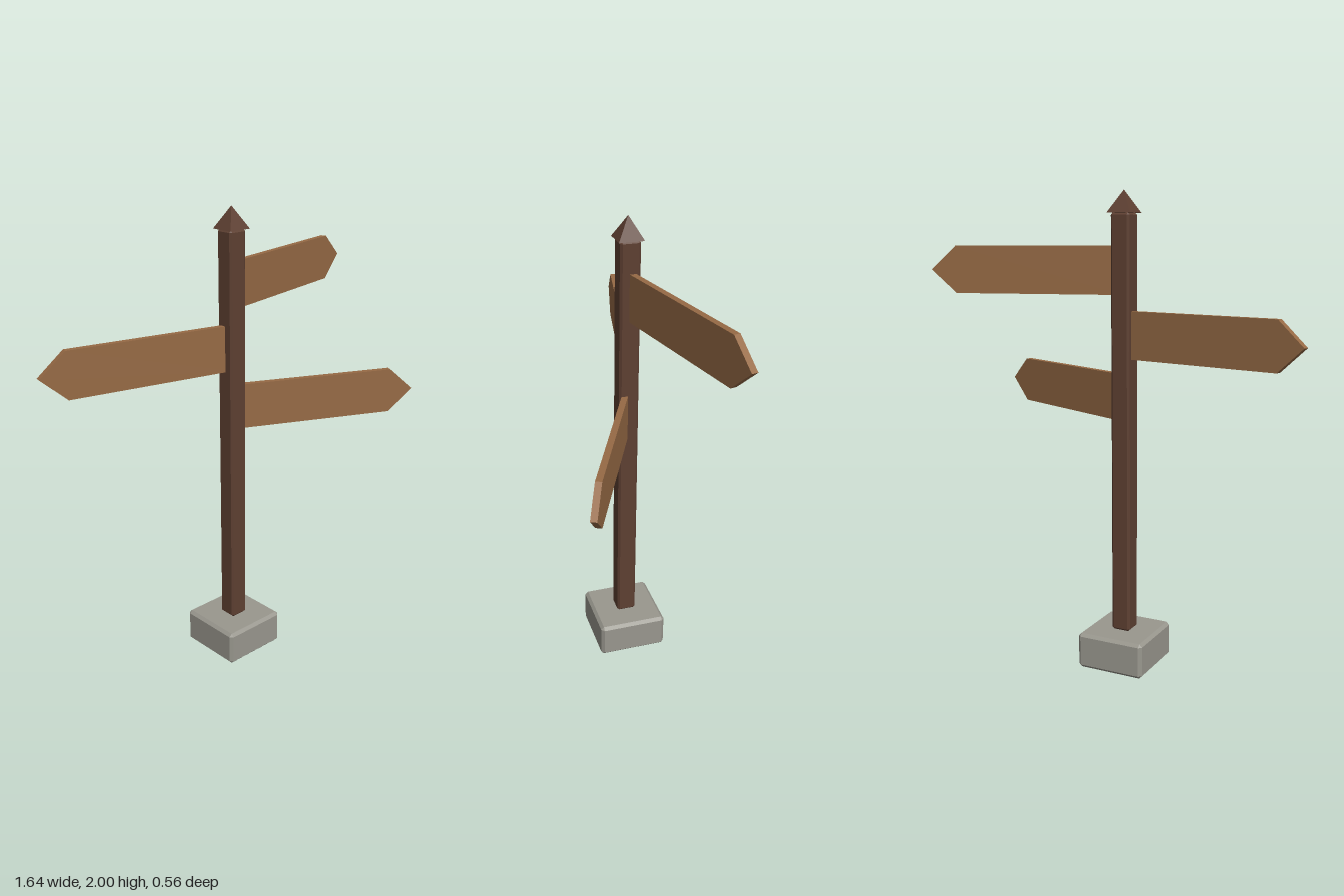
import * as THREE from 'three';
import { ConvexGeometry } from 'three/addons/geometries/ConvexGeometry.js';

const material = (color) => new THREE.MeshStandardMaterial({ color, flatShading: true });

// Box with every edge cut at 45 degrees, standing on y = 0
function chamferedBox(w, h, d, c) {
  const points = [];
  for (const x of [-1, 1]) for (const y of [-1, 1]) for (const z of [-1, 1]) {
    for (let axis = 0; axis < 3; axis++) {
      const inset = [c, c, c];
      inset[axis] = 0;
      points.push(new THREE.Vector3(
        x * (w / 2 - inset[0]), h / 2 + y * (h / 2 - inset[1]), z * (d / 2 - inset[2])));
    }
  }
  return new ConvexGeometry(points);
}

export function createModel() {
  const group = new THREE.Group();
  const stone = material(0x99978e);
  const darkWood = material(0x5e4032);
  const boardWood = material(0x966a45);
  const axisZ = -0.09;

  function add(name, geometry, mat, y) {
    const mesh = new THREE.Mesh(geometry, mat);
    mesh.name = name;
    mesh.position.set(0, y, axisZ);
    group.add(mesh);
    return mesh;
  }

  // Stone base and square post
  add('base', chamferedBox(0.3, 0.153, 0.3, 0.013), stone, 0);
  add('post', chamferedBox(0.084, 1.757, 0.084, 0.009), darkWood, 0.153);

  // Four-sided pyramid cap
  const cap = new THREE.ConeGeometry(0.052 * Math.SQRT2, 0.09, 4);
  cap.rotateY(Math.PI / 4);
  add('postCap', cap, darkWood, 1.955);

  // Arrow boards, reaching out from the post's axis
  const length = 0.838, shoulder = 0.727, half = 0.098, thickness = 0.026;
  const arrow = new THREE.Shape([
    new THREE.Vector2(0, -half),
    new THREE.Vector2(shoulder, -half),
    new THREE.Vector2(length, 0),
    new THREE.Vector2(shoulder, half),
    new THREE.Vector2(0, half),
  ]);
  const board = new THREE.ExtrudeGeometry(arrow, { depth: thickness, bevelEnabled: false });
  board.translate(0, 0, -thickness / 2);

  const signs = [
    ['upperSign', 1.682, 0.216],
    ['middleSign', 1.422, Math.PI - 0.216],
    ['lowerSign', 1.162, -0.437],
  ];
  for (const [name, y, turn] of signs) add(name, board, boardWood, y).rotation.y = turn;

  return group;
}
